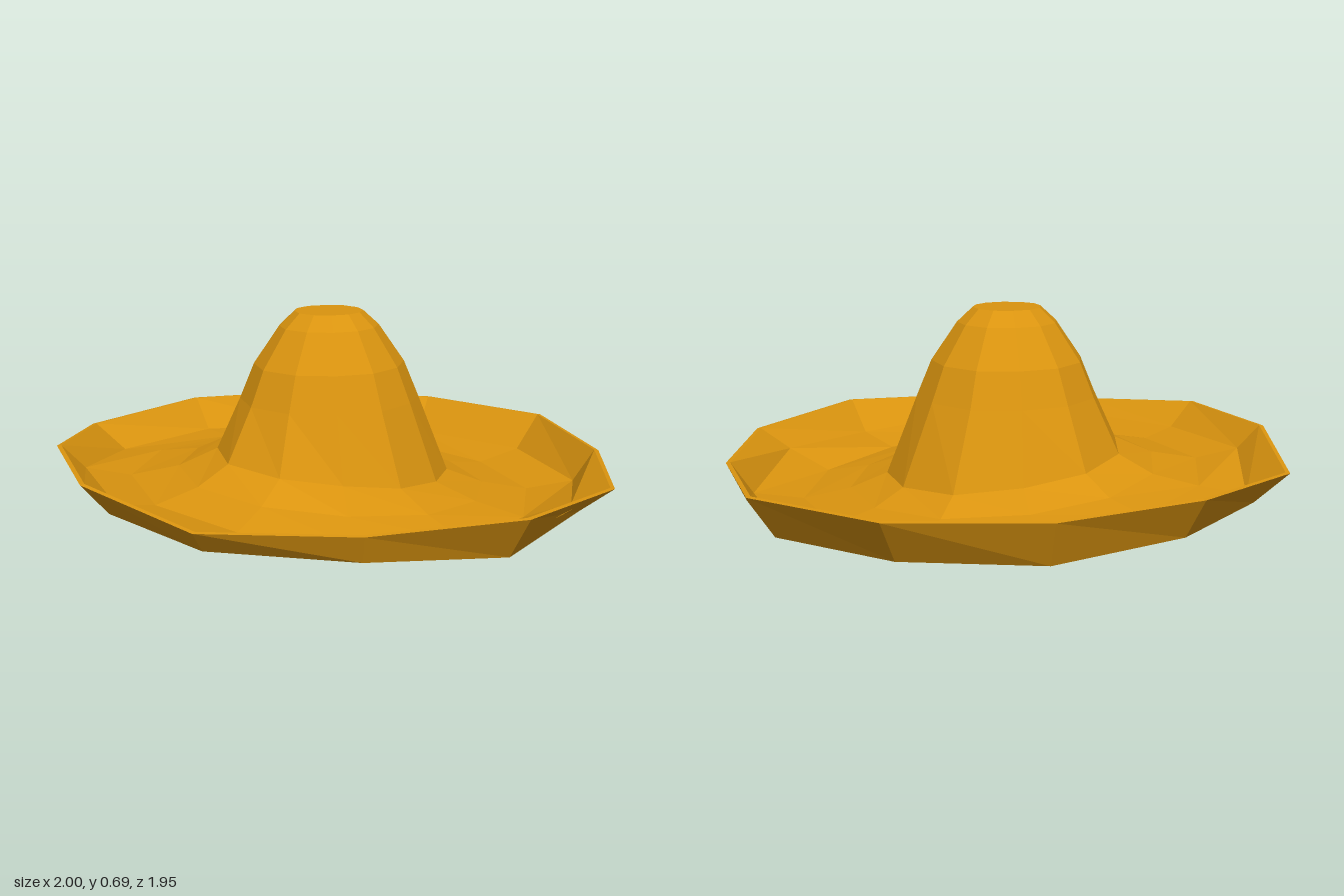
import * as THREE from 'three';

const N = 12; // sides, counted clockwise from the back when seen from above
const DEG = Math.PI / 180;
const material = new THREE.MeshStandardMaterial({ color: 0xda940f, flatShading: true });

// Hand-shaped radii and heights of the irregular rings
const rimR = [0.98, 1.01, 0.96, 1, 1, 0.95, 0.97, 0.96, 0.95, 1, 0.96, 0.96];
const rimY = [0.19, 0.185, 0.17, 0.175, 0.2, 0.19, 0.18, 0.23, 0.235, 0.19, 0.21, 0.2];
const bendR = [0.86, 0.89, 0.87, 0.86, 0.89, 0.885, 0.89, 0.84, 0.855, 0.86, 0.855, 0.865];
const bendY = [0.045, 0.04, 0.035, 0.085, 0.06, 0.1, 0.11, 0.12, 0.13, 0.08, 0.075, 0.05];
const baseR = [0.45, 0.43, 0.41, 0.39, 0.39, 0.38, 0.41, 0.425, 0.4, 0.42, 0.43, 0.425];

// A ring of N points from a radius rule and a height rule
function ring(radius, height, cx = 0) {
  return Array.from({ length: N }, (_, i) => {
    const a = (i / N) * Math.PI * 2;
    const r = radius(i);
    return [cx + r * Math.sin(a), height(i), -r * Math.cos(a)];
  });
}

// Height that dips towards the back left
const tilt = (y, amount, dir = 50) => (i) => y - amount * Math.cos((i * 360 / N - dir) * DEG);
// Radius that follows the crown's uneven outline
const crownR = (r) => (i) => r * (0.4 + 0.6 * baseR[i] / 0.415);

// Joins successive rings with flat facets
function loft(name, rings) {
  const pos = [];
  for (let k = 0; k < rings.length - 1; k++) {
    for (let i = 0; i < N; i++) {
      const j = (i + 1) % N;
      const [a, b, c, d] = [rings[k][i], rings[k][j], rings[k + 1][i], rings[k + 1][j]];
      pos.push(...a, ...b, ...c, ...b, ...d, ...c);
    }
  }
  const geometry = new THREE.BufferGeometry();
  geometry.setAttribute('position', new THREE.Float32BufferAttribute(pos, 3));
  geometry.computeVertexNormals();
  const mesh = new THREE.Mesh(geometry, material);
  mesh.name = name;
  return mesh;
}

export function createModel() {
  const hat = new THREE.Group();
  hat.name = 'wideBrimmedHat';

  const base = ring((i) => baseR[i], tilt(0.165, 0.05));
  const hole = ring((i) => baseR[i] - 0.045, tilt(0.1, 0.02));
  const rim = ring((i) => rimR[i], (i) => rimY[i]);

  // Tapering crown with a flat top, [radius, height]
  const crown = [[0.0001, 0.69], [0.12, 0.69], [0.175, 0.64], [0.265, 0.51], [0.315, 0.39]]
    .map(([r, y]) => ring(crownR(r), () => y, -0.012));
  hat.add(loft('crown', [...crown, base]));

  // Upper side of the brim, curling up to the rim
  hat.add(loft('brimTop', [
    base,
    ring((i) => 0.54 + 0.3 * (baseR[i] - 0.415), tilt(0.11, 0.045)),
    ring(() => 0.7, tilt(0.08, 0.045, 60)),
    ring((i) => bendR[i], (i) => bendY[i] + 0.025),
    ring((i) => rimR[i] - 0.015, (i) => rimY[i] + 0.002),
    rim,
  ]));

  // Underside of the brim, from the rim in to the head opening
  hat.add(loft('brimUnderside', [
    rim,
    ring((i) => bendR[i] + 0.025, (i) => bendY[i]),
    ring(() => 0.72, tilt(0.045, 0.045, 60)),
    ring(() => 0.54, tilt(0.075, 0.035)),
    hole,
  ]));

  // Hollow inside of the crown
  const lining = [[0.28, 0.39], [0.23, 0.5], [0.14, 0.61], [0.1, 0.655], [0.0001, 0.655]]
    .map(([r, y]) => ring(crownR(r), () => y, -0.012));
  hat.add(loft('crownLining', [hole, ...lining]));

  return hat;
}
